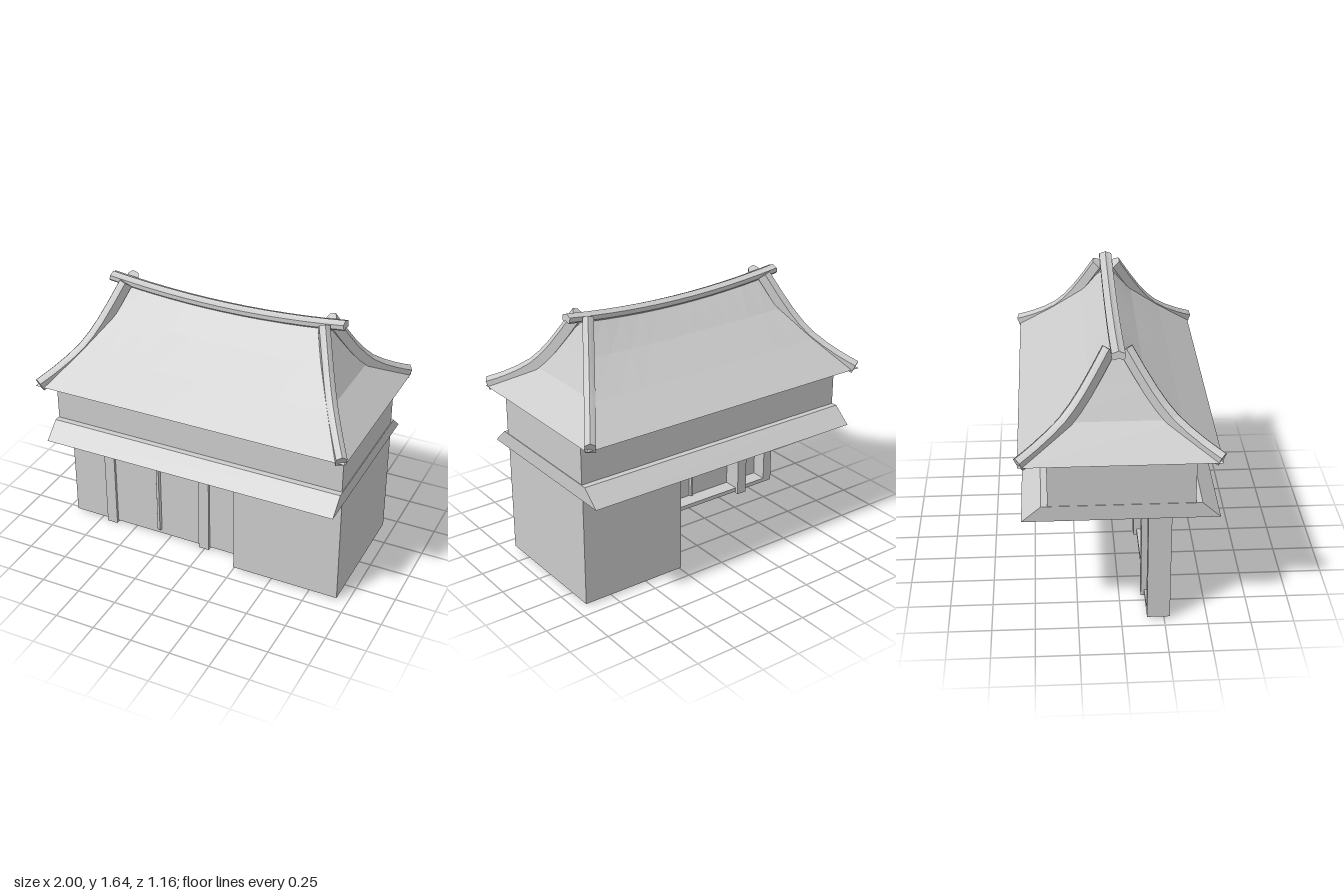
import * as THREE from 'three';

const mat = new THREE.MeshStandardMaterial({ color: 0xcccccc, flatShading: true });
const V = (x, y, z) => new THREE.Vector3(x, y, z);

function add(parent, name, geometry) {
  const m = new THREE.Mesh(geometry, mat);
  m.name = name;
  parent.add(m);
  return m;
}

// Box given by its limits on each axis
function block(parent, name, [x0, x1], [y0, y1], [z0, z1]) {
  const m = add(parent, name, new THREE.BoxGeometry(x1 - x0, y1 - y0, z1 - z0));
  m.position.set((x0 + x1) / 2, (y0 + y1) / 2, (z0 + z1) / 2);
}

function fromTriangles(points) {
  const g = new THREE.BufferGeometry().setFromPoints(points);
  g.computeVertexNormals();
  return g;
}

// Grid surface: fn(u, j), u in -1..1 and j a whole row number
function patch(fn, nu, rows) {
  const tris = [];
  for (let i = 0; i < nu; i++) for (let j = 0; j < rows; j++) {
    const at = (a, b) => fn(-1 + 2 * (i + a) / nu, j + b);
    const [a, b, c, d] = [at(0, 0), at(1, 0), at(1, 1), at(0, 1)];
    tris.push(a, b, c, a, c, d);
  }
  return fromTriangles(tris);
}

// Cross-sections of the beams: side offset, height
const ridgeSection = [[-0.026, 0], [0, 0.01], [0.026, 0], [0.038, 0.012],
  [0.038, 0.038], [0.016, 0.045], [0, 0.053], [-0.016, 0.045], [-0.038, 0.038], [-0.038, 0.012]];
const hipSection = [[-0.03, -0.025], [0.03, -0.025], [0.032, 0.03], [0.016, 0.042],
  [0, 0.052], [-0.016, 0.042], [-0.032, 0.03]];

// Sweep a section along a curve, keeping it upright
function beam(curve, section, steps) {
  const rings = [];
  for (let i = 0; i <= steps; i++) {
    const p = curve.getPoint(i / steps), t = curve.getTangent(i / steps);
    const side = t.clone().cross(V(0, 1, 0)).normalize();
    const up = side.clone().cross(t);
    rings.push(section.map(([s, h]) => p.clone().addScaledVector(side, s).addScaledVector(up, h)));
  }
  const tris = [], n = section.length;
  for (let i = 0; i < steps; i++) for (let k = 0; k < n; k++) {
    const a = rings[i][k], b = rings[i][(k + 1) % n], c = rings[i + 1][(k + 1) % n], d = rings[i + 1][k];
    tris.push(a, d, c, a, c, b);
  }
  const caps = THREE.ShapeUtils.triangulateShape(section.map(([x, y]) => new THREE.Vector2(x, y)), []);
  for (const [a, b, c] of caps) {
    const s = rings[0], e = rings[steps];
    tris.push(s[a], s[b], s[c], e[a], e[c], e[b]);
  }
  return fromTriangles(tris);
}

export function createModel() {
  const model = new THREE.Group();
  model.name = 'hallBuilding';

  // Ground floor: closed room, with a screen wall beside it
  block(model, 'room', [0.25, 0.932], [0.013, 0.7], [-0.418, 0.404]);
  const wall = new THREE.Group();
  wall.name = 'screenWall';
  model.add(wall);
  block(wall, 'panel', [-0.934, 0.25], [0.013, 0.7], [0.25, 0.283]);
  const rect = (P, x0, x1, y0, y1) => new P([[x0, y0], [x1, y0], [x1, y1], [x0, y1]]
    .map(([x, y]) => new THREE.Vector2(x, y)));
  const frame = rect(THREE.Shape, -0.934, 0.25, 0.013, 0.7);
  frame.holes.push(rect(THREE.Path, -0.87, 0.19, 0.04, 0.62));
  add(wall, 'frame', new THREE.ExtrudeGeometry(frame, { depth: 0.1, bevelEnabled: false })).position.z = 0.15;
  for (const x of [-0.665, -0.005]) block(wall, 'pillar', [x - 0.035, x + 0.035], [0, 0.67], [0.13, 0.3]);
  for (const z of [0.25, 0.283]) {
    const bar = add(wall, 'doorBar', new THREE.CylinderGeometry(0.016, 0.016, 0.58, 6));
    bar.rotation.y = Math.PI / 6;
    bar.position.set(-0.326, 0.33, z);
  }

  // Lower eave: a flared slab under the upper floor
  const flare = new THREE.Shape([[-0.555, 0.695], [0.56, 0.695], [0.45, 0.79], [-0.45, 0.79]]
    .map(([x, y]) => new THREE.Vector2(x, y)));
  const eave = add(model, 'lowerEave', new THREE.ExtrudeGeometry(flare, { depth: 1.878, bevelEnabled: false }));
  eave.rotation.y = Math.PI / 2;
  eave.position.x = -0.942;
  block(model, 'upperFloor', [-0.939, 0.932], [0.78, 1.072], [-0.413, 0.413]);

  // Hipped roof: nearly straight long slopes, bent ends, ridge sagging in the middle
  const roof = new THREE.Group();
  roof.name = 'roof';
  roof.position.set(-0.004, 0, -0.01);
  model.add(roof);
  // Half width, height and half depth of each course, eave to ridge
  const hip = [V(0.992, 1.07, 0.56), V(0.8, 1.24, 0.35), V(0.712, 1.41, 0.158), V(0.62, 1.59, 0)];
  const rows = hip.length - 1;
  const slope = (s) => (u, j) => {
    const p = hip[j], t = j / rows;
    return V(s * p.x * u, p.y - 0.03 * t ** 3 * (1 - u * u), s * p.z);
  };
  const end = (s) => (u, j) => V(s * hip[j].x, hip[j].y, -s * hip[j].z * u);
  for (const s of [1, -1]) {
    add(roof, s > 0 ? 'frontSlope' : 'backSlope', patch(slope(s), 10, rows));
    add(roof, s > 0 ? 'leftSlope' : 'rightSlope', patch(end(s), 1, rows));
  }
  add(roof, 'soffit', patch((u, j) => V(0.992 * u, 1.07, 0.56 * (2 * j - 1)), 1, 1));

  // Ridge and hip beams
  const ridge = new THREE.QuadraticBezierCurve3(V(-0.757, 1.588, 0), V(0, 1.489, 0), V(0.757, 1.588, 0));
  add(roof, 'ridgeBeam', beam(ridge, ridgeSection, 12));
  for (const sx of [1, -1]) for (const sz of [1, -1]) {
    const pts = [V(0.966, 1.075, 0.552), V(0.9, 1.13, 0.45), V(0.8, 1.24, 0.296),
      V(0.725, 1.38, 0.18), V(0.637, 1.6, 0.044)];
    const path = new THREE.CatmullRomCurve3(pts.map((p) => V(p.x * sx, p.y, p.z * sz)));
    add(roof, 'hipBeam', beam(path, hipSection, 8));
  }
  return model;
}
